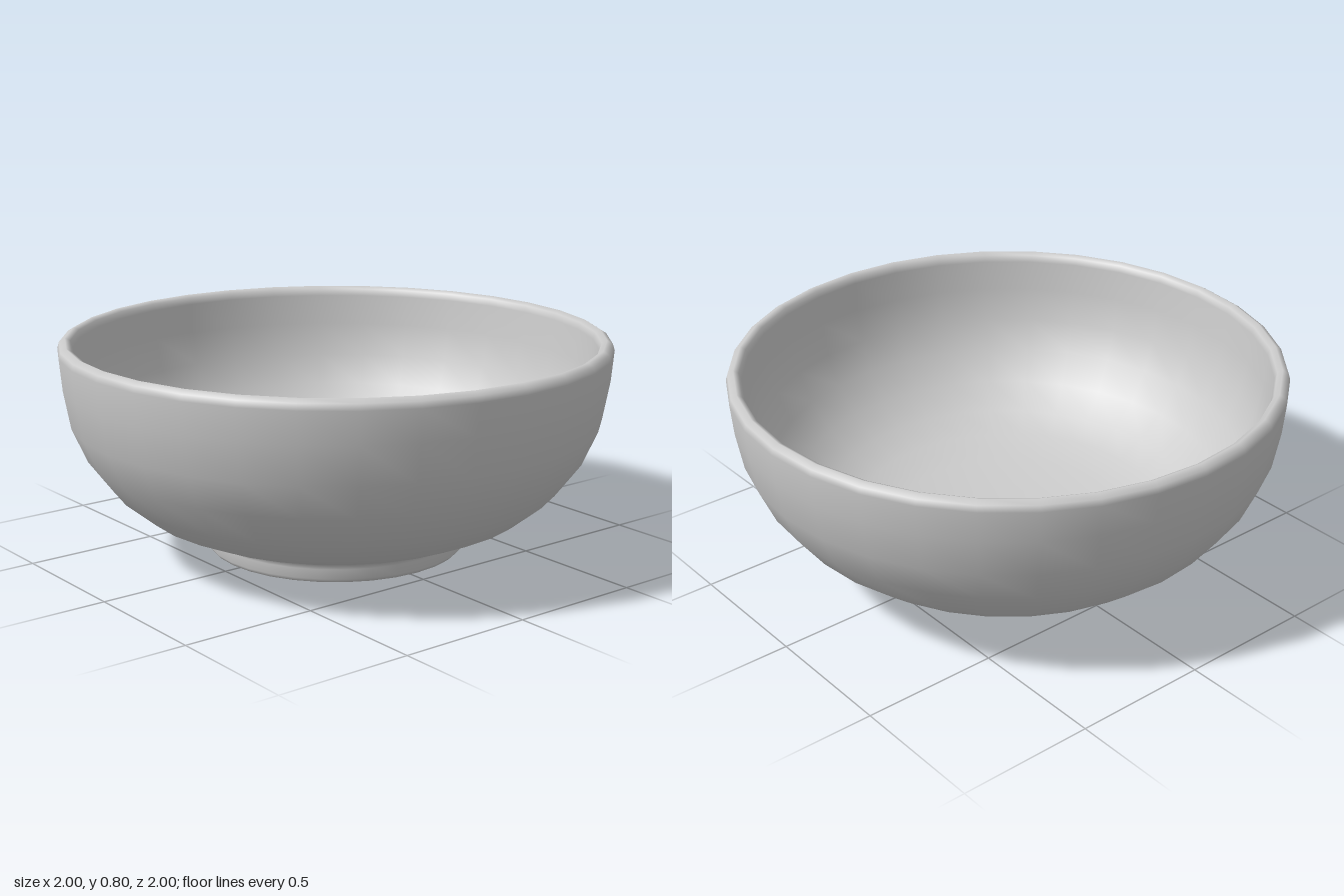
import * as THREE from 'three';

const SIDES = 32;

// Turns a list of [radius, height] pairs into a smooth surface of revolution
function turned(name, profile, material) {
  const points = profile.map(([r, y]) => new THREE.Vector2(r, y));
  const mesh = new THREE.Mesh(new THREE.LatheGeometry(points, SIDES), material);
  mesh.name = name;
  return mesh;
}

export function createModel() {
  const group = new THREE.Group();
  group.name = 'bowl';
  const material = new THREE.MeshStandardMaterial({ color: 0xcccccc });

  // Underside of the foot, very slightly domed
  group.add(turned('footUnderside', [[0, 0], [0.25, 0.003], [0.44, 0.01]], material));

  // Foot ring, outer wall, rounded rim and inner wall down to the floor
  group.add(turned('bowlBody', [
    [0.44, 0.01], [0.465, 0.015], [0.477, 0.03], [0.477, 0.065], [0.482, 0.085],
    [0.6, 0.125], [0.71, 0.175], [0.82, 0.265], [0.91, 0.385], [0.965, 0.51],
    [0.99, 0.65], [1, 0.765], [0.993, 0.787], [0.972, 0.8], [0.953, 0.79],
    [0.945, 0.765], [0.937, 0.65], [0.912, 0.525], [0.86, 0.41], [0.78, 0.305],
    [0.68, 0.225], [0.57, 0.175], [0.43, 0.14], [0.22, 0.12], [0, 0.115],
  ], material));

  return group;
}
